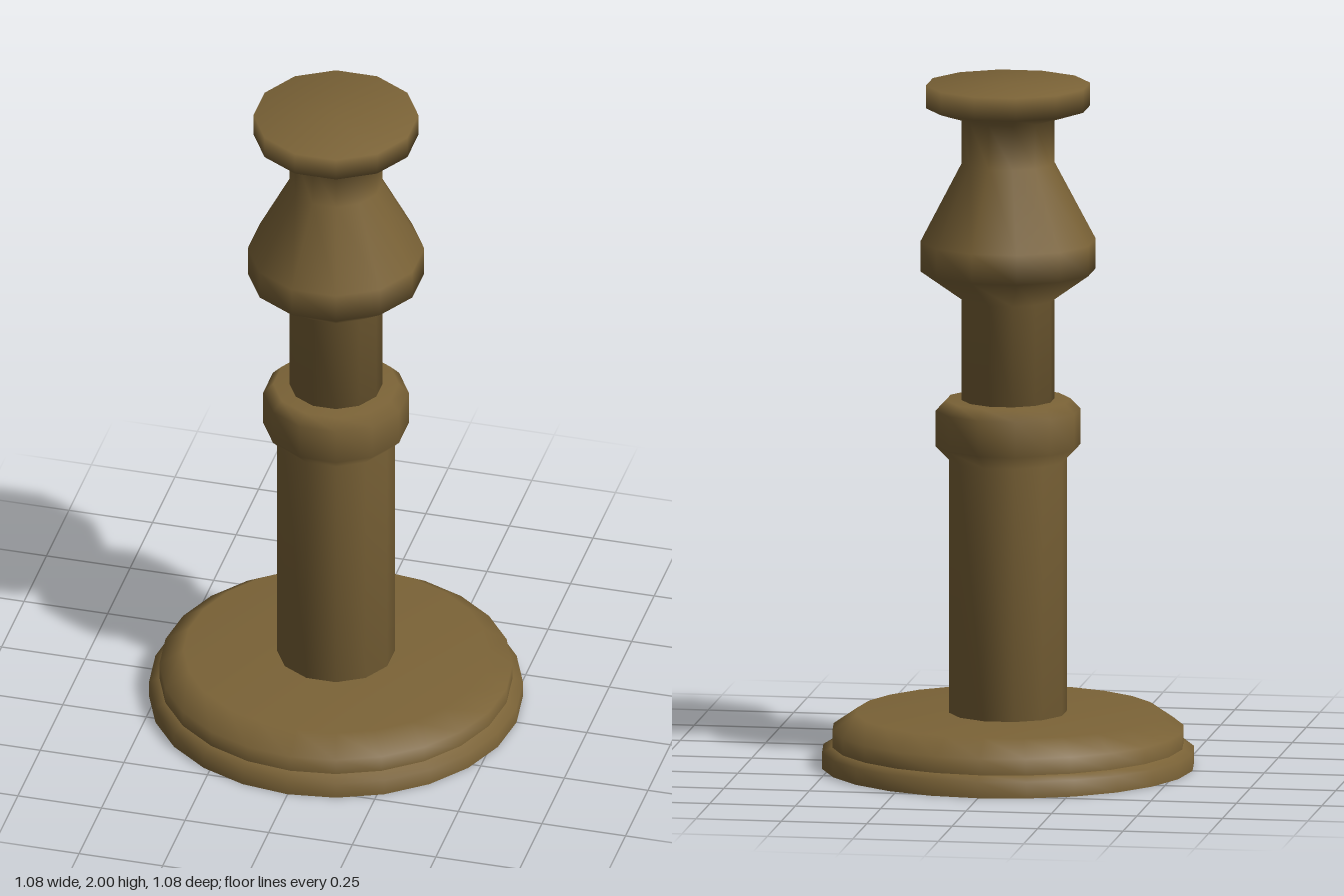
import * as THREE from 'three';

export function createModel() {
  const group = new THREE.Group();
  const bronze = new THREE.MeshStandardMaterial({ color: 0x7b6337 });
  bronze.name = 'bronze';

  // Turned part from [radius, height] pairs, listed bottom to top
  function turned(name, sides, profile, flatToFlat = false) {
    const scale = flatToFlat ? 1 / Math.cos(Math.PI / sides) : 1;
    const points = profile.map(([r, y]) => new THREE.Vector2(r * scale, y));
    const start = flatToFlat ? Math.PI / sides : 0;
    const mesh = new THREE.Mesh(new THREE.LatheGeometry(points, sides, start), bronze);
    mesh.name = name;
    group.add(mesh);
  }

  // Flat underside, kept separate for a sharp bottom edge
  turned('baseUnderside', 24, [[0, 0], [0.54, 0]]);

  // Stepped round foot
  turned('baseFoot', 24, [[0.54, 0], [0.54, 0.048], [0.51, 0.062]]);
  turned('basePlate', 24, [[0.51, 0.06], [0.51, 0.11], [0.44, 0.158], [0, 0.158]]);

  // Lower column with its collar
  turned('lowerColumn', 12, [
    [0, 0.15], [0.165, 0.15], [0.165, 0.9], [0.203, 0.94],
    [0.203, 1.045], [0.175, 1.075], [0, 1.075],
  ], true);

  // Neck, bulb and flared top
  turned('upperColumn', 12, [
    [0, 1.065], [0.13, 1.065], [0.13, 1.37], [0.246, 1.455],
    [0.246, 1.542], [0.13, 1.77], [0.13, 1.9], [0.23, 1.933],
    [0.23, 2], [0, 2],
  ], true);

  return group;
}
